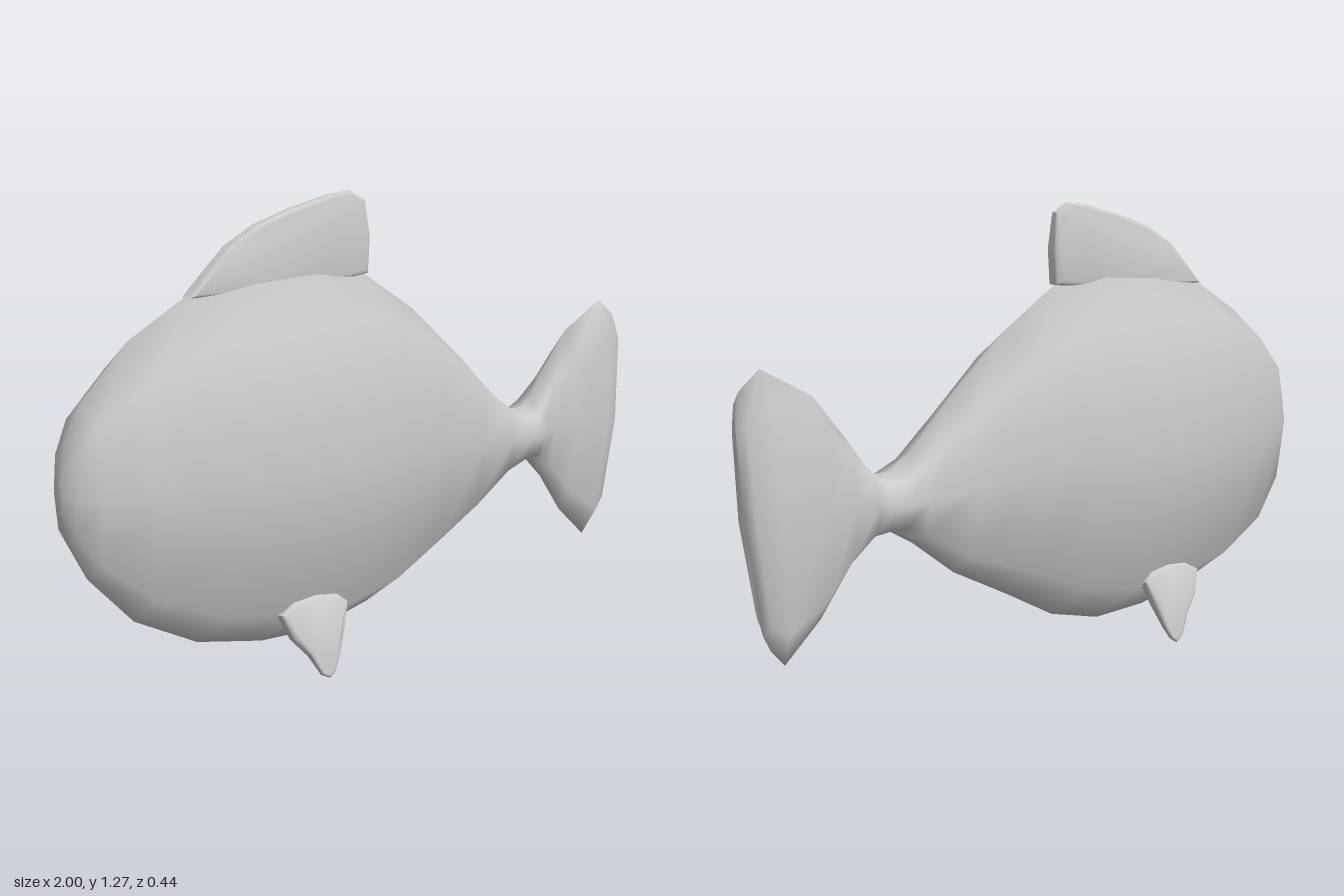
import * as THREE from 'three';
import { mergeVertices, toCreasedNormals } from 'three/addons/utils/BufferGeometryUtils.js';

const material = new THREE.MeshStandardMaterial({ color: 0xcccccc });

// Eight-sided cross-section: [z ratio, y ratio], from the top ridge round the +z side
const RING = [[0, 1], [0.745, 0.77], [1, 0], [0.745, -0.77],
  [0, -1], [-0.745, -0.77], [-1, 0], [-0.745, 0.77]];

// Body and tail sections: top x, top y, bottom x, bottom y, half width, bow of the middle
const SECTIONS = [
  [-1.0, 0.62, -1.0, 0.53, 0.02, 0],
  [-0.98, 0.70, -0.98, 0.45, 0.06, 0],
  [-0.93, 0.80, -0.93, 0.35, 0.10, 0],
  [-0.79, 0.94, -0.80, 0.21, 0.155, 0],
  [-0.61, 1.04, -0.61, 0.11, 0.195, 0],
  [-0.42, 1.07, -0.40, 0.065, 0.214, 0],
  [-0.22, 1.08, -0.21, 0.057, 0.217, 0],
  [-0.04, 1.05, -0.03, 0.10, 0.20, 0],
  [0.14, 0.935, 0.14, 0.19, 0.165, 0],
  [0.33, 0.77, 0.33, 0.285, 0.108, 0],
  [0.47, 0.635, 0.47, 0.39, 0.086, 0],
  [0.54, 0.59, 0.54, 0.43, 0.098, 0],
  [0.59, 0.59, 0.59, 0.43, 0.095, 0],
  [0.62, 0.62, 0.62, 0.42, 0.073, 0],
  [0.68, 0.70, 0.68, 0.35, 0.056, 0],
  [0.77, 0.81, 0.76, 0.235, 0.067, 0],
  [0.92, 0.89, 0.87, 0.135, 0.064, 0.015],
  [0.98, 0.84, 0.91, 0.18, 0.043, 0.02],
  [0.995, 0.81, 0.93, 0.22, 0.012, 0.02],
];

function loftBody() {
  const pos = [], index = [], n = RING.length, last = SECTIONS.length - 1;
  for (const [tx, ty, bx, by, w, bow] of SECTIONS) {
    for (const [rz, ry] of RING) {
      const t = (ry + 1) / 2;
      pos.push(bx + (tx - bx) * t + bow * (1 - ry * ry), by + (ty - by) * t, rz * w);
    }
  }
  for (let i = 0; i < last; i++) {
    for (let j = 0; j < n; j++) {
      const a = i * n + j, b = i * n + (j + 1) % n;
      index.push(a, b, a + n, b, b + n, a + n);
    }
  }
  // End caps
  for (let j = 1; j < n - 1; j++) {
    index.push(0, j + 1, j);
    index.push(last * n, last * n + j, last * n + j + 1);
  }
  const geo = new THREE.BufferGeometry();
  geo.setAttribute('position', new THREE.Float32BufferAttribute(pos, 3));
  geo.setIndex(index);
  geo.computeVertexNormals();
  return geo;
}

// Flat fin with a rounded rim, thinned towards one end by taper(y)
function finGeometry(points, half, bevel, taper) {
  const shape = new THREE.Shape(points.map(([x, y]) => new THREE.Vector2(x, y)));
  const depth = 2 * (half - bevel);
  let geo = new THREE.ExtrudeGeometry(shape, {
    depth, bevelEnabled: true, bevelThickness: bevel, bevelSize: bevel,
    bevelOffset: -bevel, bevelSegments: 3,
  });
  geo.translate(0, 0, -depth / 2);
  const p = geo.attributes.position;
  for (let i = 0; i < p.count; i++) p.setZ(i, p.getZ(i) * taper(p.getY(i)));
  geo.deleteAttribute('uv');
  geo.deleteAttribute('normal');
  geo = mergeVertices(geo, 1e-4);
  return toCreasedNormals(geo, 0.9);
}

function addMesh(group, name, geometry) {
  const mesh = new THREE.Mesh(geometry, material);
  mesh.name = name;
  group.add(mesh);
  return mesh;
}

export function createModel() {
  const fish = new THREE.Group();
  fish.name = 'fish';

  addMesh(fish, 'bodyAndTail', loftBody());

  // Fin along the back
  const dorsal = [[-0.62, 1.03], [-0.55, 1.10], [-0.49, 1.155], [-0.40, 1.205], [-0.29, 1.24],
    [-0.16, 1.27], [-0.09, 1.277], [-0.04, 1.25], [-0.028, 1.15], [-0.035, 1.05], [-0.2, 1.03]];
  addMesh(fish, 'dorsalFin', finGeometry(dorsal.reverse(), 0.024, 0.014,
    (y) => 1 - 0.35 * THREE.MathUtils.smoothstep(y, 1.12, 1.28)));

  // Pair of small fins under the belly, splayed outwards
  const pectoral = [[-0.458, -0.03], [-0.41, -0.004], [-0.34, 0.003], [-0.27, -0.008],
    [-0.237, -0.035], [-0.265, -0.11], [-0.29, -0.175], [-0.31, -0.212], [-0.33, -0.225],
    [-0.355, -0.212], [-0.385, -0.155], [-0.43, -0.10]];
  const pectoralGeo = finGeometry(pectoral.reverse(), 0.019, 0.012,
    (y) => 1 - 0.6 * THREE.MathUtils.smoothstep(-y, 0.08, 0.225));
  for (const [name, side] of [['frontPectoralFin', 1], ['backPectoralFin', -1]]) {
    const fin = addMesh(fish, name, pectoralGeo);
    fin.position.set(0, 0.222, side * 0.155);
    fin.rotation.x = -0.26 * side;
  }

  return fish;
}
